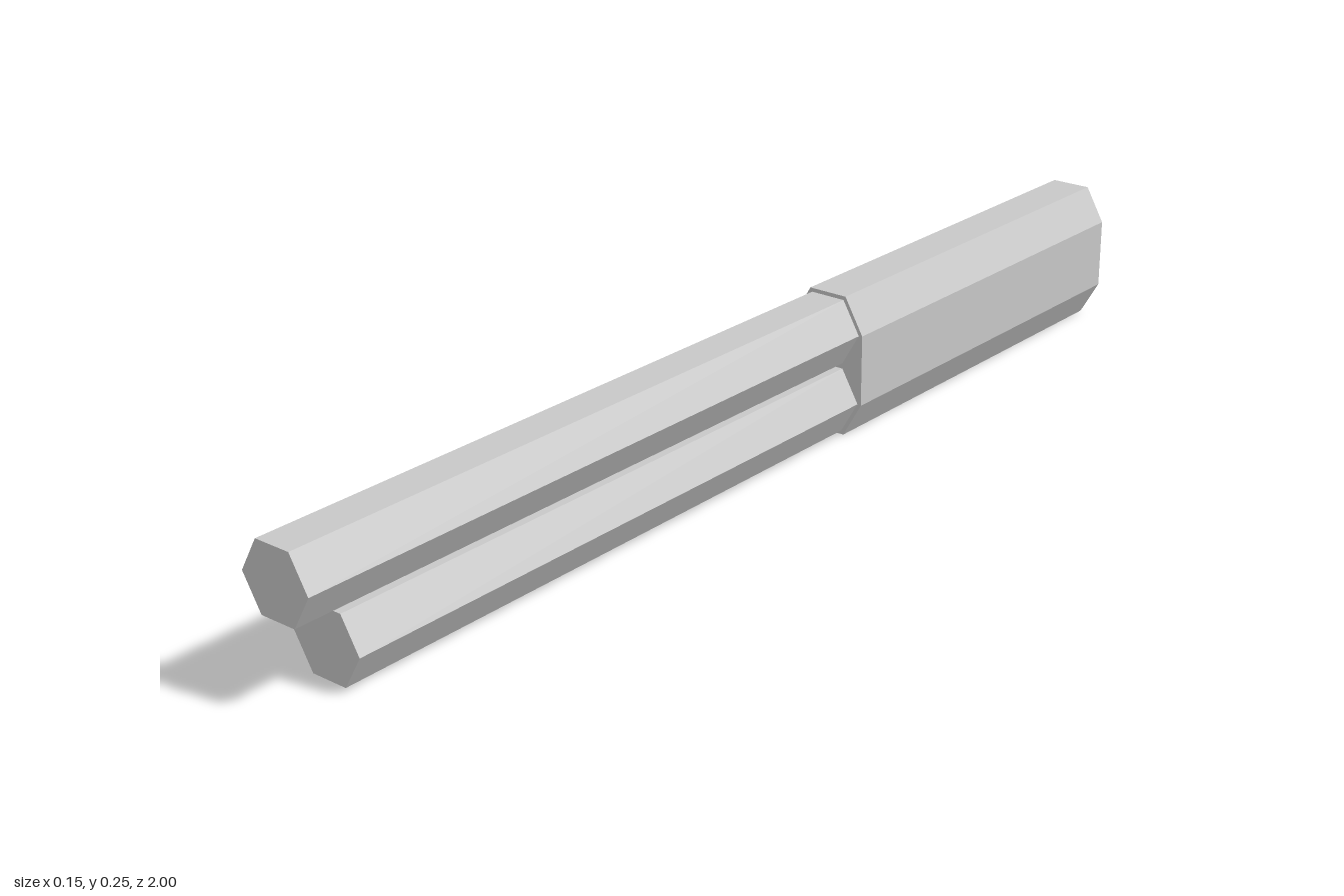
import * as THREE from 'three';

export function createModel() {
  const group = new THREE.Group();
  const grey = new THREE.MeshStandardMaterial({ color: 0xc8c8c8 });
  grey.name = 'light grey';

  // Straight bar along z with a faceted cross-section
  function bar(name, points, y, back, front) {
    const shape = new THREE.Shape(points.map(([px, py]) => new THREE.Vector2(px, py)));
    const geometry = new THREE.ExtrudeGeometry(shape, { depth: front - back, bevelEnabled: false });
    const mesh = new THREE.Mesh(geometry, grey);
    mesh.name = name;
    mesh.position.set(0, y, back);
    group.add(mesh);
  }

  // Stretched octagonal sleeve holding both rods
  const sleeve = [
    [-0.037, -0.126], [0.037, -0.126], [0.073, -0.063], [0.073, 0.063],
    [0.037, 0.126], [-0.037, 0.126], [-0.073, 0.063], [-0.073, -0.063],
  ];
  bar('sleeve', sleeve, 0.126, -1, -0.22);

  // Two hexagonal rods, the lower one shorter
  const hexagon = Array.from({ length: 6 }, (_, i) => {
    const a = (i * Math.PI) / 3;
    return [0.066 * Math.cos(a), 0.066 * Math.sin(a)];
  });
  bar('upperRod', hexagon, 0.188, -0.23, 1);
  bar('lowerRod', hexagon, 0.064, -0.23, 0.92);

  return group;
}
